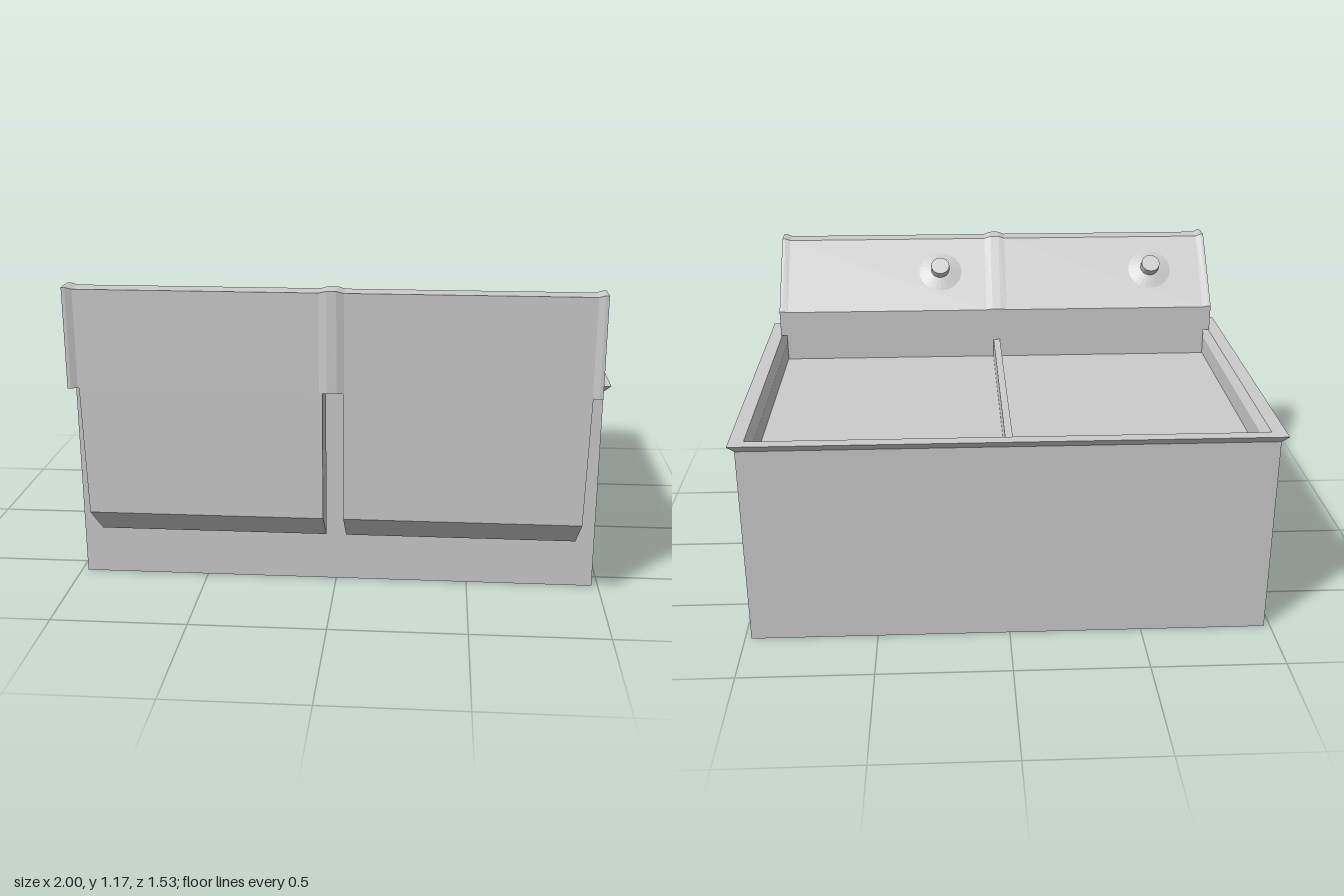
import * as THREE from 'three';

const material = new THREE.MeshStandardMaterial({ color: 0xcccccc, flatShading: true });

// Skins a row of matching convex rings and closes both ends, with flat faces.
function loft(rings) {
  const pos = [];
  const tri = (...pts) => pts.forEach((p) => pos.push(...p));
  const n = rings[0].length;
  for (let i = 0; i < rings.length - 1; i++) {
    for (let j = 0; j < n; j++) {
      const k = (j + 1) % n, a = rings[i], b = rings[i + 1];
      tri(a[j], a[k], b[k]);
      tri(a[j], b[k], b[j]);
    }
  }
  const first = rings[0], last = rings[rings.length - 1];
  for (let k = 1; k < n - 1; k++) {
    tri(first[0], first[k + 1], first[k]);
    tri(last[0], last[k], last[k + 1]);
  }
  const geometry = new THREE.BufferGeometry();
  geometry.setAttribute('position', new THREE.Float32BufferAttribute(pos, 3));
  geometry.computeVertexNormals();
  return geometry;
}

export function createModel() {
  const model = new THREE.Group();
  const add = (name, geometry, parent = model) => {
    const mesh = new THREE.Mesh(geometry, material);
    mesh.name = name;
    parent.add(mesh);
    return mesh;
  };
  const box = (name, x0, x1, y0, y1, z0, z1) =>
    add(name, new THREE.BoxGeometry(x1 - x0, y1 - y0, z1 - z0))
      .position.set((x0 + x1) / 2, (y0 + y1) / 2, (z0 + z1) / 2);

  // Tank: straight walls, flared rim and a tray with a bevelled lip inside
  const rect = (y, x, z0, z1) => [[-x, y, z1], [x, y, z1], [x, y, z0], [-x, y, z0]];
  add('tank', loft([
    rect(0, 0.976, -0.748, 0.58),
    rect(0.775, 0.976, -0.748, 0.58),
    rect(0.8, 1, -0.765, 0.597),
    rect(0.8, 0.946, -0.717, 0.56),
    rect(0.765, 0.925, -0.703, 0.545),
    rect(0.69, 0.925, -0.703, 0.545),
  ]));
  box('divider', -0.014, 0.014, 0.685, 0.768, -0.71, 0.5);

  // Control hood: panels slightly sunk between raised ends and a centre rib
  const hoodRing = (x, sink) => [
    [x, 0.8, 0.765 - sink], [x, 0.8, 0.425], [x, 0.91 - sink / 2, 0.425],
    [x, 1.17 - sink, 0.68 - sink / 4], [x, 1.17 - sink, 0.765 - sink],
  ];
  add('controlHood', loft([
    [-0.95, 0], [-0.938, 0], [-0.915, 0.008], [-0.045, 0.008], [-0.018, 0],
    [0.018, 0], [0.045, 0.008], [0.915, 0.008], [0.938, 0], [0.95, 0],
  ].map(([x, sink]) => hoodRing(x, sink))));
  box('hoodSkirt', -0.924, 0.924, 0.69, 0.801, 0.426, 0.5);

  // Front covers, flush with the hood, with tapered sides and an undercut lower edge
  const coverProfile = [[0.32, 0.757], [0.197, 0.615], [0.8, 0.615], [0.8, 0.757]];
  for (const side of [-1, 1]) {
    const inner = coverProfile.map(([y, z]) => [0.004 + side * 0.037, y, z]);
    const outer = coverProfile.map(([y, z]) => [0.003 + side * (0.899 + (y - 0.2) * 0.025), y, z]);
    add(side < 0 ? 'rightCover' : 'leftCover', loft(side < 0 ? [outer, inner] : [inner, outer]));
  }

  // Knobs on shallow conical bosses, square to the sloping panel
  for (const x of [-0.69, 0.245]) {
    const knob = new THREE.Group();
    knob.name = 'knob';
    add('knobBoss', new THREE.CylinderGeometry(0.045, 0.115, 0.022, 24), knob).position.y = 0.009;
    add('knobCap', new THREE.CylinderGeometry(0.04, 0.04, 0.04, 16), knob).position.y = 0.037;
    knob.position.set(x, 1.041, 0.565);
    knob.rotation.x = -Math.PI / 4;
    model.add(knob);
  }
  return model;
}
